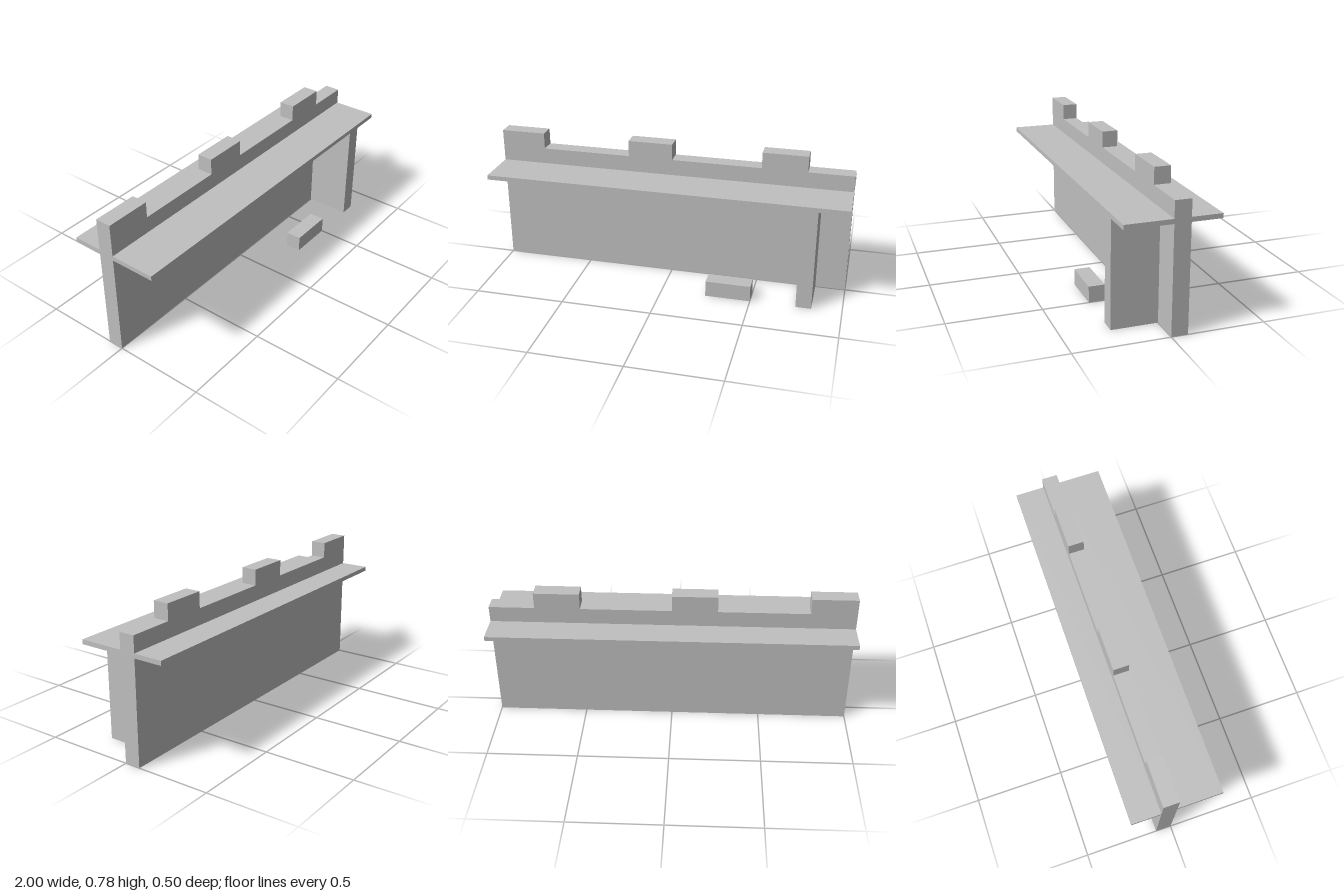
import * as THREE from 'three';

export function createModel() {
  const model = new THREE.Group();
  model.name = 'battlementWall';

  const stone = new THREE.MeshStandardMaterial({ color: 0xc0c0c0 });
  stone.name = 'stone grey';

  const T = 0.0875; // common wall thickness
  const wallTop = 0.69, merlonTop = 0.78;

  // Box given by its minimum and maximum corners
  function block(name, [x0, y0, z0], [x1, y1, z1]) {
    const mesh = new THREE.Mesh(new THREE.BoxGeometry(x1 - x0, y1 - y0, z1 - z0), stone);
    mesh.position.set((x0 + x1) / 2, (y0 + y1) / 2, (z0 + z1) / 2);
    mesh.name = name;
    model.add(mesh);
  }

  // Wall with merlons, extruded from its front outline
  const outline = new THREE.Shape();
  outline.moveTo(-1, 0);
  outline.lineTo(1, 0);
  outline.lineTo(1, wallTop);
  for (const [left, right] of [[0.5, 0.75], [-0.25, 0], [-1, -0.75]]) {
    outline.lineTo(right, wallTop);
    outline.lineTo(right, merlonTop);
    outline.lineTo(left, merlonTop);
    if (left > -1) outline.lineTo(left, wallTop);
  }
  outline.closePath();
  const wall = new THREE.Mesh(
    new THREE.ExtrudeGeometry(outline, { depth: T, bevelEnabled: false }), stone);
  wall.position.z = -T;
  wall.name = 'crenellatedWall';
  model.add(wall);

  // Walkway on both sides of the wall
  block('frontWalkway', [-1, 0.575, 0], [1, 0.6, 0.25]);
  block('backWalkway', [-1, 0.575, -0.25], [1, 0.6, -T]);

  // Cross wall carrying the front walkway
  block('buttress', [0.75, 0, 0], [0.835, 0.575, 0.25]);

  // Loose low block standing in front
  block('lowBlock', [0.25, 0, 0.25 - T], [0.5, 0.09, 0.25]);

  return model;
}
